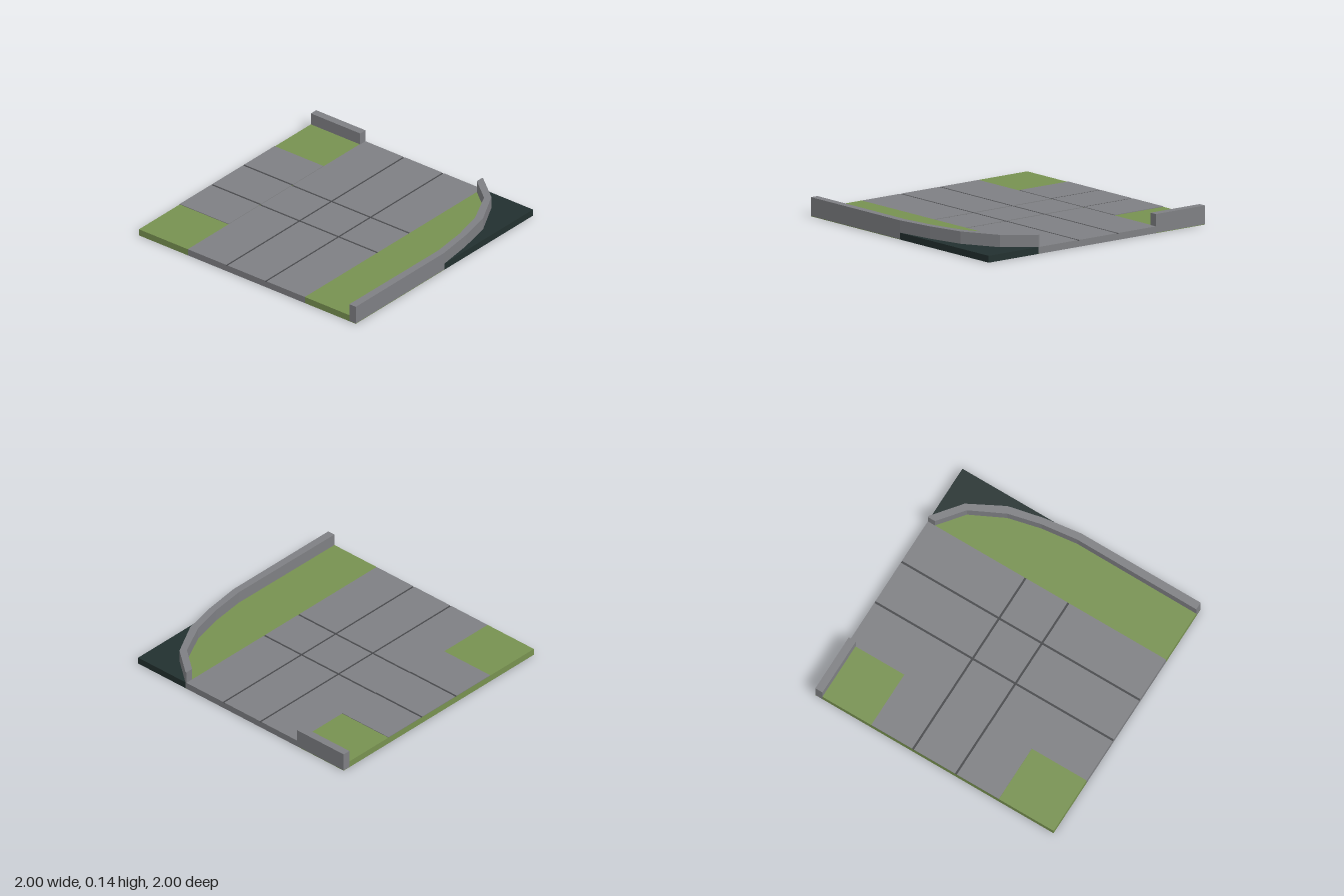
import * as THREE from 'three';

const mat = (name, color) => Object.assign(new THREE.MeshStandardMaterial({ color }), { name });

export function createModel() {
  const group = new THREE.Group();
  const stone = mat('stone grey', 0x7e7f83);
  const grass = mat('grass green', 0x779150);
  const water = mat('dark teal', 0x22302f);
  const joint = mat('joint grey', 0x46474a);

  const add = (name, geometry, material) => {
    const mesh = new THREE.Mesh(geometry, material);
    mesh.name = name;
    group.add(mesh);
  };
  // Box given by its extents
  const box = (name, m, x0, x1, y0, y1, z0, z1) => add(name,
    new THREE.BoxGeometry(x1 - x0, y1 - y0, z1 - z0)
      .translate((x0 + x1) / 2, (y0 + y1) / 2, (z0 + z1) / 2), m);
  // Upright prism over an outline of [x, z] points
  const prism = (name, m, points, y0, y1) => {
    const shape = new THREE.Shape(points.map(([x, z]) => new THREE.Vector2(x, -z)));
    add(name, new THREE.ExtrudeGeometry(shape, { depth: y1 - y0, bevelEnabled: false })
      .rotateX(-Math.PI / 2).translate(0, y0, 0), m);
  };

  const left = -0.55, right = 0.53, ground = 0.05, top = 0.14, foot = 0.003;
  const outer = [[0.54, -1], [0.755, -0.83], [0.9, -0.56], [0.96, -0.29], [1, 0], [1, 1]];
  const inner = [[right, -0.94], [0.72, -0.79], [0.85, -0.53], [0.91, -0.28], [0.945, 0], [0.94, 1]];

  // Grass slabs, with a thin footing below the walls
  box('sideGrass', grass, -1, left, foot, ground, -0.94, 1);
  box('sideGrassFooting', grass, -1, left, 0, foot, -1, 1);
  prism('curvedGrass', grass, [...inner, [right, 1]], foot, ground);
  prism('curvedGrassFooting', grass, [[right, -1], ...outer, [right, 1]], 0, foot);

  // Walls and the low corner outside the curve
  box('straightWall', stone, -1, left + 0.005, foot, top, -1, -0.94);
  prism('curvedWall', stone, [[right, -1], ...outer, ...[...inner].reverse()], foot, top);
  prism('darkCorner', water, [...outer.slice(0, 5), [1, -1]], 0, ground);

  // Road base and side road, paved with tiles that leave dark joints between them
  box('roadBase', stone, left, right, 0, 0.044, -1, 1);
  const gap = 0.008;
  const lanesX = [[left, -0.19 - gap], [-0.19 + gap, 0.17 - gap], [0.17 + gap, right]];
  const lanesZ = [[-1, -0.18 - gap], [-0.18 + gap, 0.18 - gap], [0.18 + gap, 1]];
  for (const [x0, x1] of lanesX)
    for (const [z0, z1] of lanesZ) box('roadTile', stone, x0, x1, 0.044, 0.05, z0, z1);
  for (const [z0, z1] of [[-0.53, lanesZ[0][1]], lanesZ[1], [lanesZ[2][0], 0.54]])
    box('sideRoadTile', stone, -1, left, ground, 0.054, z0, z1);
  for (const x of [-0.19, 0.17])
    box('longJoint', joint, x - gap, x + gap, 0.044, 0.046, -1, 1);
  for (const z of [-0.18, 0.18]) {
    box('crossJoint', joint, left, right, 0.044, 0.0455, z - gap, z + gap);
    box('sideJoint', joint, -1, left, ground, 0.051, z - gap, z + gap);
  }
  return group;
}
